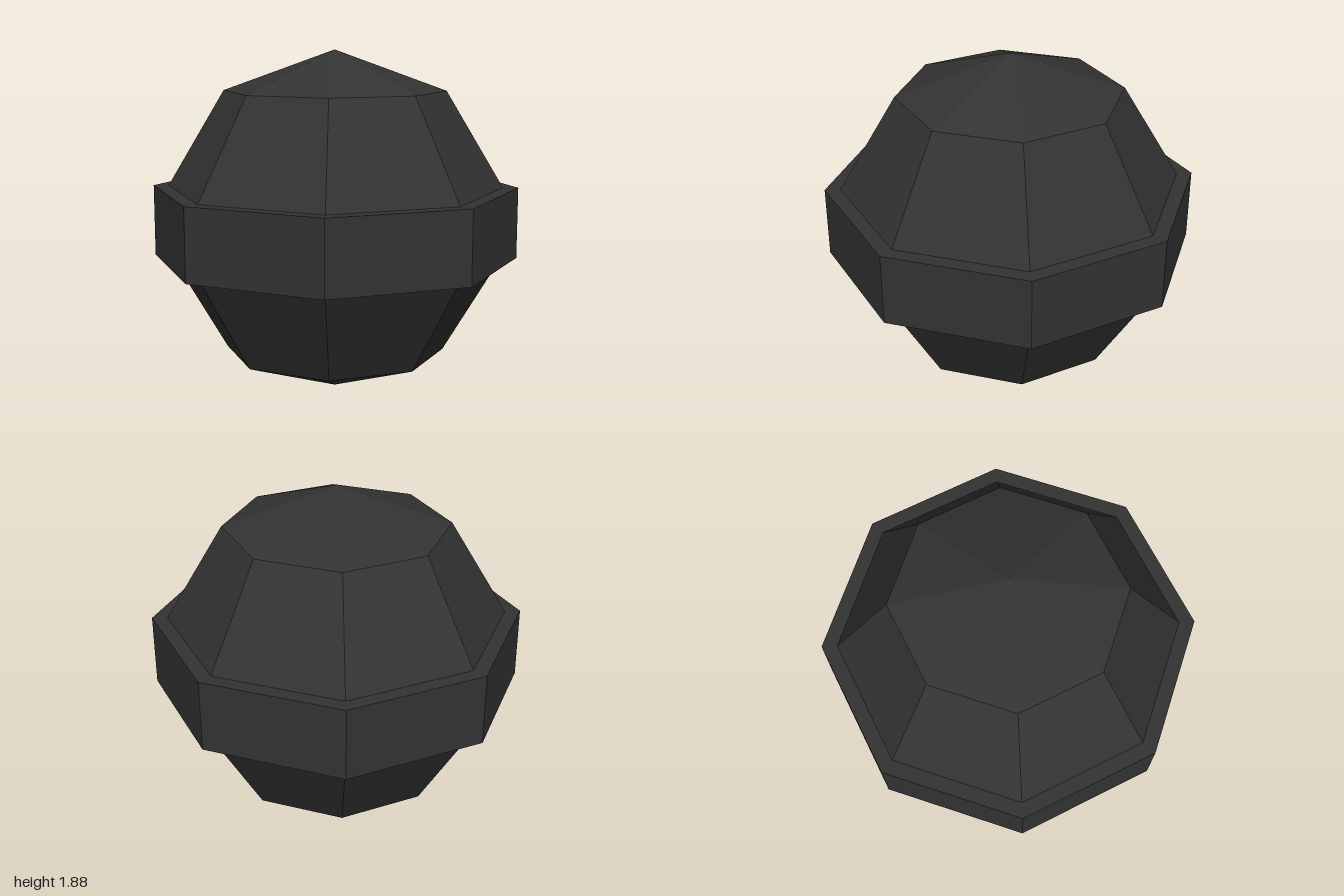
import * as THREE from 'three';

const SIDES = 8;

export function createModel() {
  const model = new THREE.Group();
  const charcoal = new THREE.MeshStandardMaterial({ color: 0x333333, flatShading: true });
  charcoal.name = 'charcoal';

  // Turn a [radius, height] outline, listed bottom to top, into a faceted solid
  const addTurned = (name, outline) => {
    const points = outline.map(([r, y]) => new THREE.Vector2(r, y));
    const geometry = new THREE.LatheGeometry(points, SIDES).toNonIndexed();
    geometry.computeVertexNormals();
    const mesh = new THREE.Mesh(geometry, charcoal);
    mesh.name = name;
    model.add(mesh);
  };

  // Lower and upper domes, meeting the band at its flat rims
  addTurned('lowerDome', [[0, 0.005], [0.603, 0.223], [0.917, 0.747]]);
  addTurned('upperDome', [[0.917, 1.137], [0.603, 1.661], [0, 1.88]]);

  // Raised octagonal band around the middle
  addTurned('middleBand', [[0.917, 0.747], [1, 0.747], [1, 1.137], [0.917, 1.137]]);

  return model;
}
